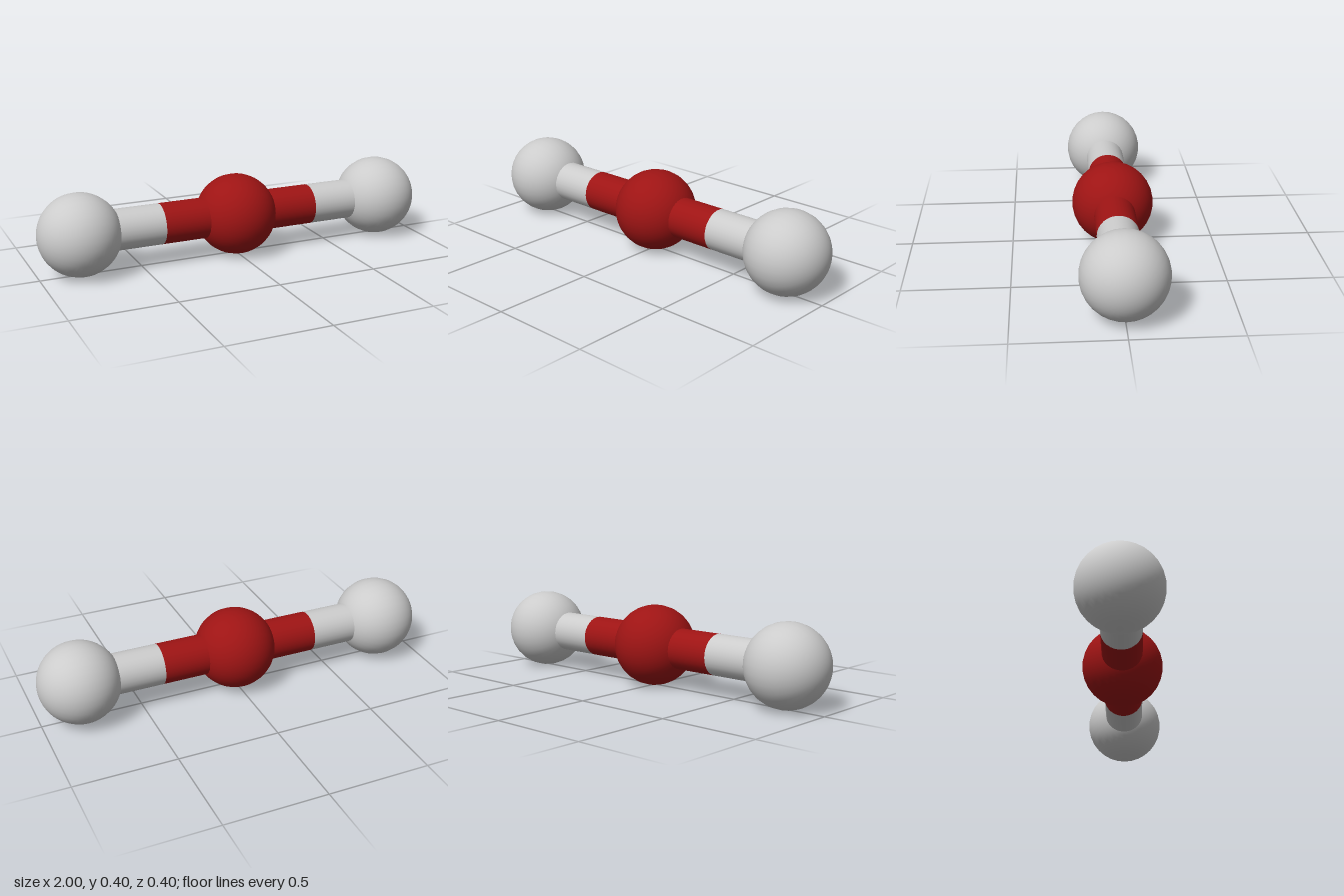
import * as THREE from 'three';

const RADIUS = 0.2, BOND_RADIUS = 0.1, SPACING = 0.8;

export function createModel() {
  const model = new THREE.Group();
  model.name = 'linearMolecule';

  const grey = new THREE.MeshStandardMaterial({ color: 0xcccccc });
  const red = new THREE.MeshStandardMaterial({ color: 0x9e1414 });

  // Atom spheres, poles along the bond axis
  const atomGeometry = new THREE.SphereGeometry(RADIUS, 30, 30).rotateZ(Math.PI / 2);
  // Half bonds, open where they meet
  const bondGeometry = new THREE.CylinderGeometry(
    BOND_RADIUS, BOND_RADIUS, SPACING / 2, 30, 1, true).rotateZ(Math.PI / 2);

  const add = (name, geometry, material, x) => {
    const mesh = new THREE.Mesh(geometry, material);
    mesh.name = name;
    mesh.position.set(x, RADIUS, 0);
    model.add(mesh);
  };

  add('centreAtom', atomGeometry, red, 0);

  // Mirrored outer atoms and two-coloured bonds
  for (const [side, s] of [['left', 1], ['right', -1]]) {
    add(`${side}Atom`, atomGeometry, grey, s * SPACING);
    add(`${side}InnerBond`, bondGeometry, red, s * SPACING * 0.25);
    add(`${side}OuterBond`, bondGeometry, grey, s * SPACING * 0.75);
  }

  return model;
}
